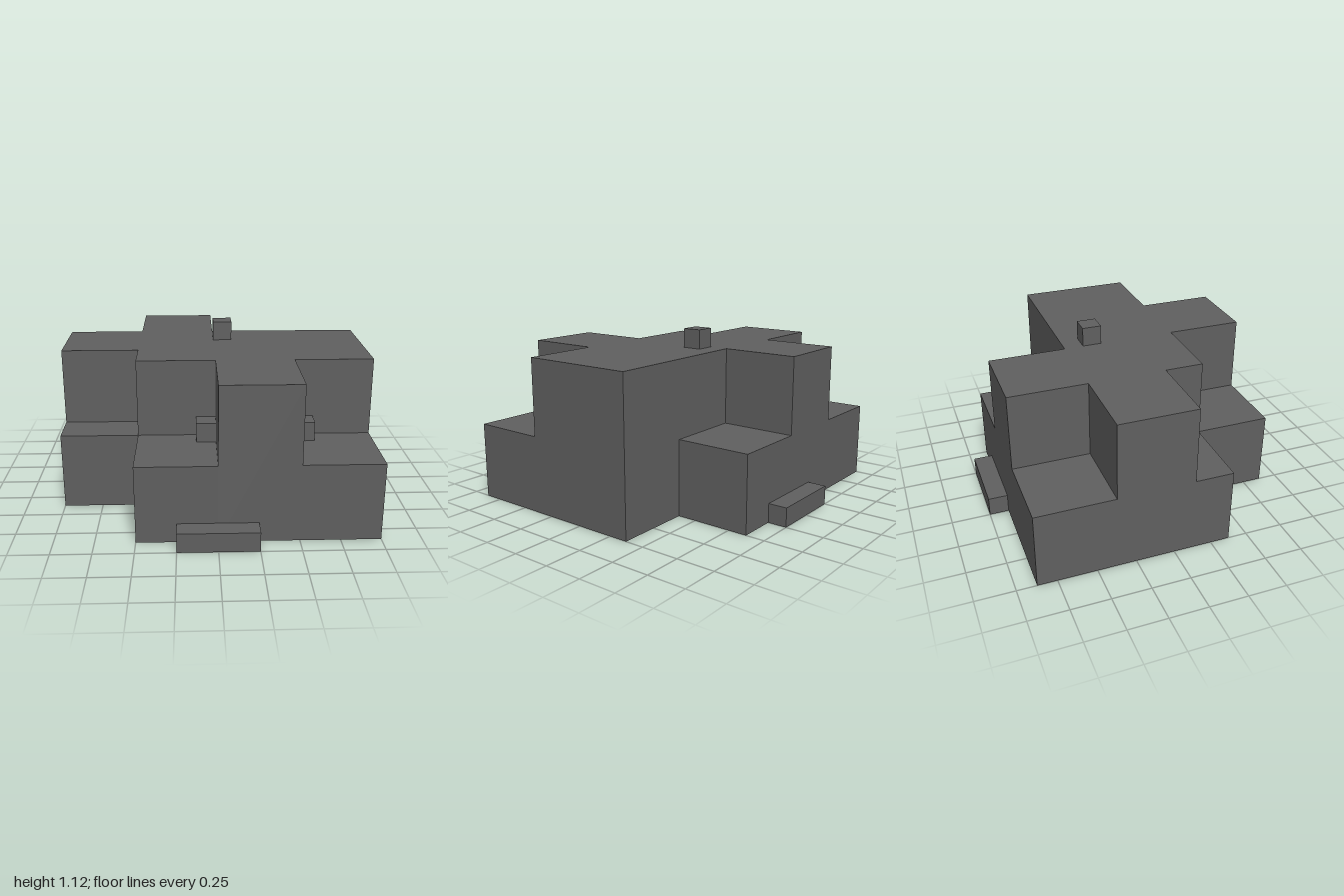
import * as THREE from 'three';
import { mergeGeometries } from 'three/addons/utils/BufferGeometryUtils.js';

// Plan grid: cell borders along x and z, and the height of each cell (0 = empty).
const X = [-1, -0.5, 0, 0.5, 1];
const Z = [-0.875, -0.375, 0.125, 0.375, 0.875];
const HEIGHTS = [
  [0.5, 1, 0.5, 0], // back
  [1, 1, 1, 1],
  [0.5, 1, 1, 1],
  [0, 0.5, 1, 0.5], // front
];
const heightAt = (row, col) => HEIGHTS[row]?.[col] ?? 0;
const DARK_GREY = 0x5f5f5f;

export function createModel() {
  const model = new THREE.Group();
  const shellMaterial = new THREE.MeshStandardMaterial({ color: DARK_GREY, side: THREE.DoubleSide });
  const solidMaterial = new THREE.MeshStandardMaterial({ color: DARK_GREY });

  const add = (name, geometry, material) => {
    const mesh = new THREE.Mesh(geometry, material);
    mesh.name = name;
    model.add(mesh);
    return mesh;
  };

  // Thin hollow shell, open underneath: a roof per cell, a wall wherever the neighbour is lower.
  const roofs = { 0.5: [], 1: [] };
  const walls = [];
  for (let row = 0; row < 4; row++) {
    for (let col = 0; col < 4; col++) {
      const h = heightAt(row, col);
      if (!h) continue;
      const w = X[col + 1] - X[col], d = Z[row + 1] - Z[row];
      const cx = (X[col] + X[col + 1]) / 2, cz = (Z[row] + Z[row + 1]) / 2;
      roofs[h].push(new THREE.PlaneGeometry(w, d).rotateX(-Math.PI / 2).translate(cx, h, cz));
      for (const [dx, dz] of [[1, 0], [-1, 0], [0, 1], [0, -1]]) {
        const low = heightAt(row + dz, col + dx);
        if (low >= h) continue;
        walls.push(new THREE.PlaneGeometry(dx ? d : w, h - low)
          .rotateY(Math.atan2(dx, dz))
          .translate(cx + dx * w / 2, (h + low) / 2, cz + dz * d / 2));
      }
    }
  }
  add('upperRoof', mergeGeometries(roofs[1]), shellMaterial);
  add('lowerRoofs', mergeGeometries(roofs[0.5]), shellMaterial);
  add('walls', mergeGeometries(walls), shellMaterial);

  // Door steps at the front and back
  for (const [name, side] of [['frontStep', 1], ['backStep', -1]]) {
    add(name, new THREE.BoxGeometry(0.5, 0.125, 0.125), solidMaterial)
      .position.set(0, 0.0625, side * 0.9375);
  }

  // Small cubes standing on the roofs
  const cube = new THREE.BoxGeometry(0.125, 0.125, 0.125);
  add('roofCube', cube, solidMaterial).position.set(0.0625, 1.0625, -0.1875);
  add('leftTerraceCube', cube, solidMaterial).position.set(0.5625, 0.5625, 0.4375);
  add('rightTerraceCube', cube, solidMaterial).position.set(-0.0625, 0.5625, 0.4375);

  return model;
}
